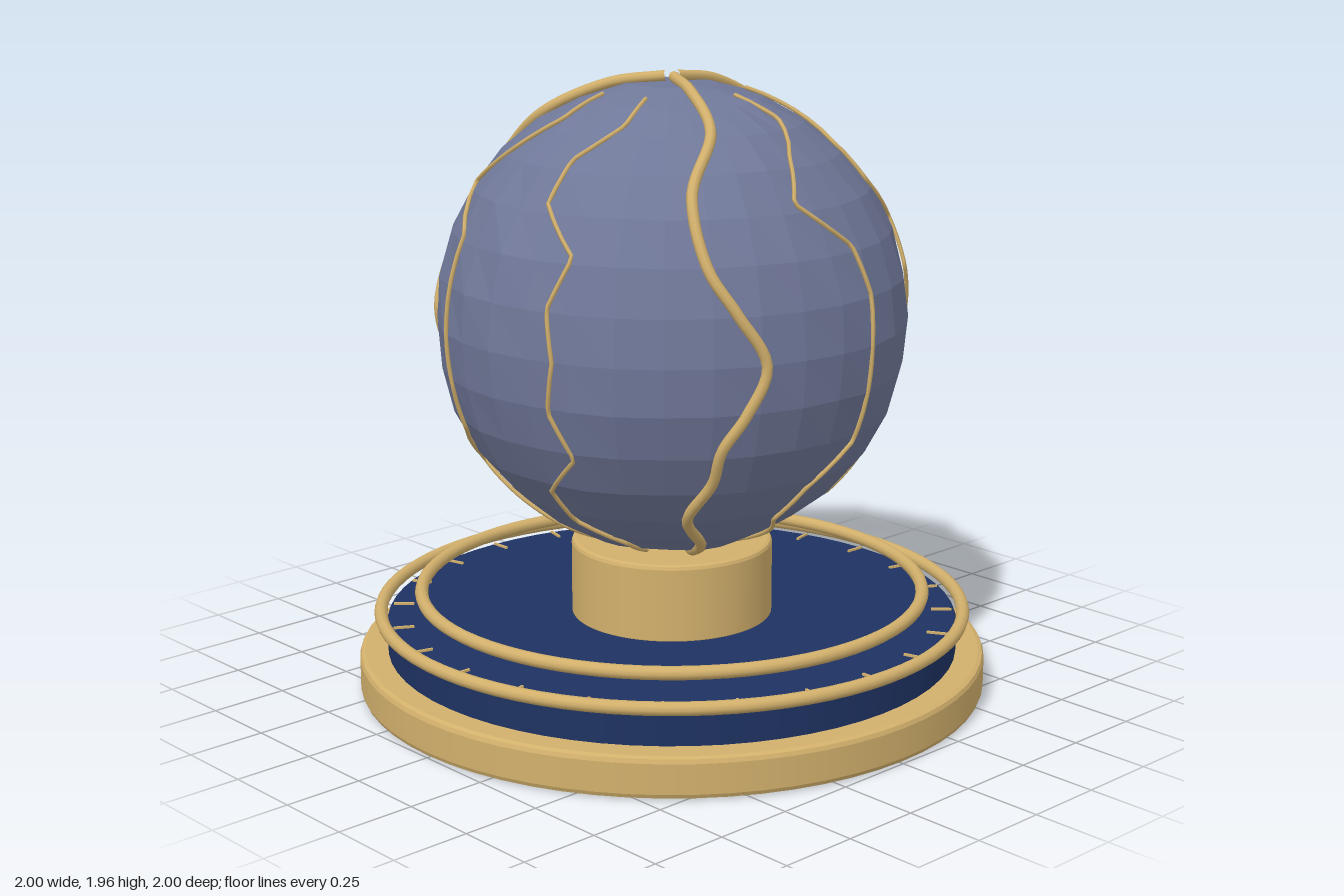
import * as THREE from 'three';

const CENTER_Y = 1.2, RADIUS = 0.738;
const gold = new THREE.MeshStandardMaterial({ color: 0xd2b06c });
const navy = new THREE.MeshStandardMaterial({ color: 0x1e3262 });
const stone = new THREE.MeshStandardMaterial({ color: 0x707899, flatShading: true });

function add(parent, name, geometry, material) {
  const mesh = new THREE.Mesh(geometry, material);
  mesh.name = name;
  parent.add(mesh);
  return mesh;
}

// Upright disc with softly bevelled rims
function disc(radius, y0, y1, bevel) {
  const b = bevel;
  const pts = [[0, y0], [radius - b, y0], [radius - b * 0.3, y0 + b * 0.3], [radius, y0 + b],
    [radius, y1 - b], [radius - b * 0.3, y1 - b * 0.3], [radius - b, y1], [0, y1]];
  // Doubled points keep the flat faces and walls crisp
  const profile = pts.flatMap(([x, y], i) => {
    const p = new THREE.Vector2(x, y);
    return i === 0 || i === 7 ? [p] : [p, p.clone()];
  });
  const g = new THREE.LatheGeometry(profile, 64).toNonIndexed();
  // Remove the zero-area strips left by the doubled points
  const pos = g.attributes.position, keep = [];
  const t = new THREE.Triangle();
  for (let i = 0; i < pos.count; i += 3) {
    t.setFromAttributeAndIndices(pos, i, i + 1, i + 2);
    if (t.getArea() > 1e-9) keep.push(i, i + 1, i + 2);
  }
  g.setIndex(keep);
  return g;
}

// Point on the globe from polar angle and azimuth in degrees
function onGlobe(polar, azimuth, r) {
  const p = THREE.MathUtils.degToRad(polar), a = THREE.MathUtils.degToRad(azimuth);
  return new THREE.Vector3(r * Math.sin(p) * Math.cos(a), CENTER_Y + r * Math.cos(p), r * Math.sin(p) * Math.sin(a));
}

// Jagged line that hugs the globe between the given [polar, azimuth] pairs
function jaggedTube(knots, r, thickness) {
  const pts = [];
  knots.forEach(([p, a], i) => {
    const next = knots[i + 1];
    const steps = next ? 3 : 1;
    for (let k = 0; k < steps; k++) {
      const f = k / 3;
      pts.push(onGlobe(next ? p + (next[0] - p) * f : p, next ? a + (next[1] - a) * f : a, r));
    }
  });
  const curve = new THREE.CatmullRomCurve3(pts, false, 'catmullrom', 0);
  return new THREE.TubeGeometry(curve, pts.length * 2, thickness, 5);
}

function globeGeometry() {
  const g = new THREE.SphereGeometry(RADIUS, 32, 16);
  const pos = g.attributes.position, v = new THREE.Vector3();
  // Slight rolling unevenness, continuous across the seam
  for (let i = 0; i < pos.count; i++) {
    v.fromBufferAttribute(pos, i).normalize();
    const n = Math.sin(v.x * 9 + v.y * 4) * Math.sin(v.z * 8 - v.y * 5) + 0.5 * Math.sin(v.x * 17 - v.z * 13 + v.y * 11);
    v.multiplyScalar(RADIUS - 0.002 + 0.005 * n);
    pos.setXYZ(i, v.x, v.y, v.z);
  }
  g.computeVertexNormals();
  return g;
}

export function createModel() {
  const model = new THREE.Group();
  model.name = 'crackedGlobeOnStand';

  // Stand
  const stand = new THREE.Group();
  stand.name = 'stand';
  model.add(stand);
  add(stand, 'basePlate', disc(1, 0, 0.13, 0.018), gold);
  add(stand, 'baseTier', disc(0.91, 0.12, 0.232, 0.008), navy);
  add(stand, 'neck', disc(0.32, 0.22, 0.477, 0.014), gold);
  for (const [name, radius, y] of [['lowerRing', 0.93, 0.253], ['upperRing', 0.8, 0.312]]) {
    const ring = add(stand, name, new THREE.TorusGeometry(radius, 0.021, 10, 80), gold);
    ring.rotation.x = Math.PI / 2;
    ring.position.y = y;
  }

  // Dial marks around the tier
  const marks = new THREE.Group();
  marks.name = 'dialMarks';
  stand.add(marks);
  const markGeometry = new THREE.BoxGeometry(0.065, 0.01, 0.008);
  for (let i = 0; i < 24; i++) {
    const a = (i / 24) * Math.PI * 2;
    const mark = add(marks, 'dialMark', markGeometry, gold);
    mark.position.set(0.865 * Math.cos(a), 0.234, 0.865 * Math.sin(a));
    mark.rotation.y = -a;
  }

  // Globe
  add(model, 'globe', globeGeometry(), stone).position.y = CENTER_Y;

  // Three thick wavy veins from pole to pole
  const veinPath = [[1.5, -4], [15, -4], [33, -3], [51, 7.5], [68, 4.6], [78, -1.6], [90, -8.3],
    [101, -4], [110, 1.3], [119, 2.6], [132, 8.4], [147, 0.7], [166, -6]];
  const veinCurve = new THREE.CatmullRomCurve3(veinPath.map(([p, a]) => onGlobe(p, a, RADIUS + 0.007)));
  const veinGeometry = new THREE.TubeGeometry(veinCurve, 80, 0.017, 8);
  for (let i = 0; i < 3; i++) add(model, 'goldVein', veinGeometry, gold).rotation.y = (i * Math.PI * 2) / 3;

  // Six fine cracks, azimuth every 12 degrees of polar angle
  const cracks = [
    [32, 40, 50, 50, 40, 43, 37, 35, 39, 47, 53, 35, 37],
    [78, 74, 89, 97, 82, 79, 80, 80, 80, 91, 95, 81, 71],
    [153, 155, 169, 170, 158, 163, 161, 163, 158, 170, 169, 155, 153],
    [198, 194, 205, 217, 200, 200, 200, 200, 202, 215, 205, 194, 198],
    [273, 275, 289, 291, 279, 283, 281, 283, 279, 290, 289, 275, 273],
    [319, 313, 326, 335, 318, 320, 321, 322, 323, 327, 335, 320, 312],
  ];
  for (const azimuths of cracks) {
    const knots = azimuths.map((a, i) => [18 + i * 12, a]);
    add(model, 'fineCrack', jaggedTube(knots, RADIUS + 0.002, 0.007), gold);
  }
  return model;
}
